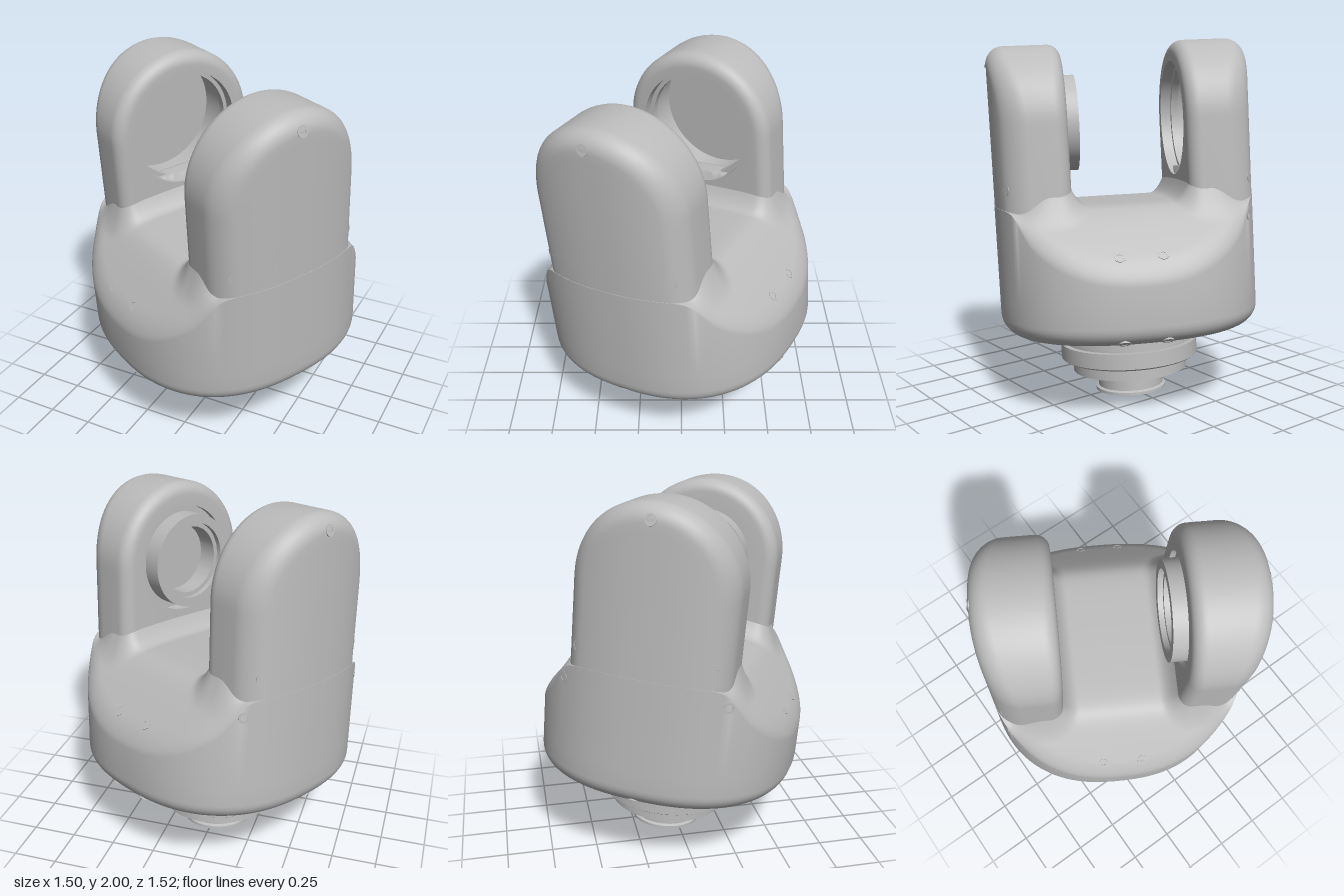
import * as THREE from 'three';
import { toCreasedNormals } from 'three/addons/utils/BufferGeometryUtils.js';

const R = 0.716, POW = 2.4;          // rounded-square plan of the housing
const ARM_IN = 0.31, ARM_W = 0.433, ARM_Y = 1.532, ARM_EDGE = 0.07;

const grey = new THREE.MeshStandardMaterial({ color: 0xbcbcbc });
grey.name = 'grey metal';

// plan radius at an angle, and plan half width at a given z
const planRadius = (a) =>
  R / Math.pow(Math.abs(Math.cos(a)) ** POW + Math.abs(Math.sin(a)) ** POW, 1 / POW);
const planX = (z) => R * Math.pow(1 - Math.min(1, Math.abs(z) / R) ** POW, 1 / POW);

// closed loops joined into a skin; point(row, angle) gives [x, y, z]
function loft(rows, cols, point, crease = 0.6) {
  const pos = [], index = [];
  rows.forEach((row) => {
    for (let c = 0; c < cols; c++) pos.push(...point(row, (c / cols) * Math.PI * 2));
  });
  for (let r = 0; r < rows.length - 1; r++) {
    for (let c = 0; c < cols; c++) {
      const n = (c + 1) % cols;
      const a = r * cols + c, b = a + cols, d = r * cols + n, e = d + cols;
      index.push(a, b, d, b, e, d);
    }
  }
  const geo = new THREE.BufferGeometry();
  geo.setAttribute('position', new THREE.Float32BufferAttribute(pos, 3));
  geo.setIndex(index);
  return toCreasedNormals(geo, crease);
}

function add(parent, name, geo) {
  const mesh = new THREE.Mesh(geo, grey);
  mesh.name = name;
  parent.add(mesh);
  return mesh;
}

const smooth = THREE.MathUtils.smoothstep;

// top of the housing: flat floor, sloped front and back, fillets around the arms
function topHeight(x, z) {
  const t = Math.abs(z) - 0.42;
  const ax = Math.abs(x), f = 0.09;
  const slope = 1.1 - 1.1 * (Math.sqrt(t * t + 0.0036) + t) / 2;
  // distance to the round-cornered footprint of the arm
  const d = Math.hypot(Math.max(0, ARM_IN + ARM_EDGE - ax),
    Math.max(0, Math.abs(z) - ARM_W + ARM_EDGE)) - ARM_EDGE;
  const rise = Math.max(0, 1 - Math.max(d, -0.03) / f) ** 2;
  return slope + f * rise * (1 - smooth(ax, 0.42, 0.6));
}

function housingGeometry() {
  const rows = [{ s: 0, y: 0.4 }];
  for (let i = 0; i <= 8; i++) {
    const a = (i / 8) * Math.PI / 2;
    rows.push({ s: 1 - 0.14 * (1 - Math.sin(a)), y: 0.5 - 0.1 * Math.cos(a) });
  }
  rows.push({ s: 1, y: 0.6 });
  for (let i = 0; i <= 8; i++) rows.push({ s: 1 - 0.1 * (1 - Math.cos(i / 8 * Math.PI / 2)), top: true });
  for (let i = 1; i <= 60; i++) rows.push({ s: 0.9 * (1 - i / 60), top: true });
  return loft(rows, 216, ({ s, y, top }, a) => {
    const r = planRadius(a) * s, x = r * Math.cos(a), z = r * Math.sin(a);
    if (!top) return [x, y, z];
    const k = Math.min(1, Math.max(0, (s - 0.9) / 0.1));
    const drop = 0.07 * (1 - Math.sqrt(1 - k * k)) * smooth(Math.abs(z), 0.42, 0.55);
    return [x, topHeight(x, z) - drop, z];
  }, 0.8);
}

// arm on the +x side; bore is the [radius, x] profile of its inner opening
function armGeometry(bore) {
  const rows = bore.map(([r, x]) => ({ r, x }));
  const fi = ARM_EDGE, fo = 0.095, n = 8;
  for (let i = 0; i <= n; i++) {
    const a = (i / n) * Math.PI / 2;
    rows.push({ inset: fi * (1 - Math.sin(a)), x: ARM_IN + fi * (1 - Math.cos(a)), s: 1 });
  }
  for (let i = 0; i <= n; i++) {
    const a = (i / n) * Math.PI / 2;
    rows.push({ inset: fo * (1 - Math.cos(a)), back: fo * (1 - Math.sin(a)), s: 1 });
  }
  for (let i = 1; i <= 8; i++) rows.push({ inset: fo, back: 0, s: 1 - i / 8 });
  return loft(rows, 120, (row, a) => {
    const c = Math.cos(a), s = Math.sin(a);
    let rad = row.r;
    if (rad === undefined) {
      const w = ARM_W - row.inset;
      rad = s >= 0 ? w : Math.min(w / Math.max(1e-6, Math.abs(c)), 0.56 / -s);
      rad *= row.s;
    }
    const z = rad * c;
    const x = row.back === undefined ? row.x : planX(z) * 0.997 - row.back;
    return [x, ARM_Y + rad * s, z];
  });
}

// small socket screw pointing along a normal
function screw(parent, name, p, normal, sides = 16) {
  const pts = [[0.03, -0.03], [0.03, 0.004], [0.018, 0.004], [0.018, 0.001], [0, 0.001]]
    .map(([x, y]) => new THREE.Vector2(x, y));
  const mesh = add(parent, name, toCreasedNormals(new THREE.LatheGeometry(pts, sides), 0.5));
  mesh.position.set(...p);
  mesh.quaternion.setFromUnitVectors(new THREE.Vector3(0, 1, 0), new THREE.Vector3(...normal).normalize());
}

function buildArm(name, bore) {
  const arm = new THREE.Group();
  arm.name = name;
  add(arm, name + 'Shell', armGeometry(bore));
  screw(arm, 'armScrew', [planX(0) - 0.006, 1.885, 0], [1, 0.25, 0]);
  for (const s of [-1, 1]) {
    screw(arm, 'armScrew', [planX(0.36) - 0.009, 1.195, s * 0.358], [0.85, 0, s * 0.5]);
  }
  return arm;
}

// mounting ring with curved slots, seen from below
function slottedRing() {
  const shape = new THREE.Shape().absarc(0, 0, 0.325, 0, Math.PI * 2);
  shape.holes.push(new THREE.Path().absarc(0, 0, 0.235, 0, Math.PI * 2, true));
  for (let i = 0; i < 4; i++) {
    const a = i * Math.PI / 2 + 0.5;
    const slot = new THREE.Path();
    slot.absarc(0, 0, 0.29, a, a + 0.55);
    slot.absarc(0, 0, 0.26, a + 0.55, a, true);
    shape.holes.push(slot);
    const b = a + 1.06;
    shape.holes.push(new THREE.Path().absarc(0.275 * Math.cos(b), 0.275 * Math.sin(b), 0.014, 0, Math.PI * 2));
  }
  const geo = new THREE.ExtrudeGeometry(shape, { depth: 0.04, bevelEnabled: false, curveSegments: 48 });
  geo.rotateX(-Math.PI / 2).translate(0, 0.12, 0);
  return toCreasedNormals(geo, 0.5);
}

export function createModel() {
  const model = new THREE.Group();
  model.name = 'jointHousing';
  const body = new THREE.Group();
  body.name = 'tiltedAssembly';
  body.rotation.set(0.083, -0.507, 0);
  body.position.set(0, 0.018, -0.05);
  model.add(body);

  add(body, 'housing', housingGeometry());

  // left arm carries a raised bearing boss, right arm an open bearing seat
  body.add(buildArm('leftArm', [[0, 0.38], [0.19, 0.38], [0.19, 0.27], [0.215, 0.27], [0.215, 0.24],
    [0.265, 0.24], [0.265, 0.34], [0.3, 0.34], [0.3, ARM_IN]]));
  const right = buildArm('rightArm', [[0, 0.61], [0.335, 0.61], [0.335, 0.41], [0.297, 0.41],
    [0.297, 0.37], [0.32, 0.37], [0.32, ARM_IN]]);
  right.rotation.y = Math.PI;
  body.add(right);

  // shoulder and underside screws
  for (const sz of [-1, 1]) {
    for (const x of [-0.11, 0.11]) {
      screw(body, 'shoulderScrew', [x, topHeight(x, 0.645) - 0.003, sz * 0.645], [0, 1, sz * 1.1], 6);
      screw(body, 'baseScrew', [x, 0.416, sz * 0.665], [0, -0.866, sz * 0.5]);
    }
    screw(body, 'baseScrew', [sz * 0.665, 0.416, 0], [sz * 0.5, -0.866, 0]);
    screw(body, 'sideScrew', [-planX(0.44) + 0.002, 1.0, sz * 0.44], [-0.85, 0, sz * 0.53]);
  }

  // stepped bearing flange and output hub
  const lathe = (pts) => toCreasedNormals(
    new THREE.LatheGeometry(pts.map(([x, y]) => new THREE.Vector2(x, y)), 72), 0.5);
  add(body, 'outputHub', lathe([[0, 0.06], [0.035, 0.06], [0.035, 0], [0.2, 0], [0.2, 0.015],
    [0.185, 0.022], [0.185, 0.155]]));
  add(body, 'bearingFlange', lathe([[0.18, 0.15], [0.325, 0.15], [0.325, 0.19], [0.375, 0.19],
    [0.39, 0.2], [0.39, 0.285], [0.36, 0.285], [0.36, 0.302], [0.39, 0.302], [0.39, 0.43]]));
  add(body, 'slottedRing', slottedRing());

  return model;
}
